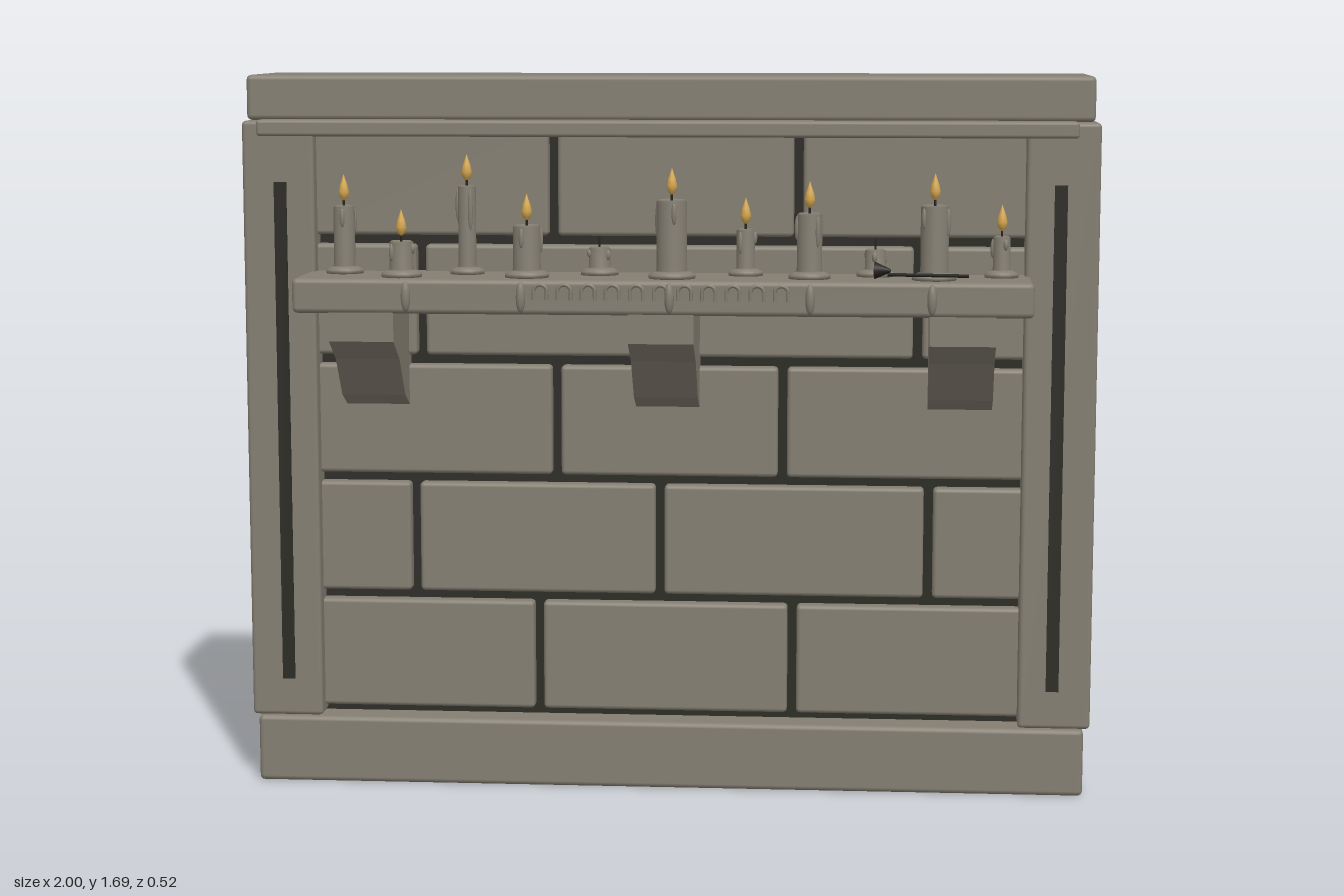
import * as THREE from 'three';
import { RoundedBoxGeometry } from 'three/addons/geometries/RoundedBoxGeometry.js';

const mat = (name, color) => {
  const m = new THREE.MeshStandardMaterial({ color });
  m.name = name;
  return m;
};

export function createModel() {
  const stone = mat('stone', 0x857f72);
  const mortar = mat('mortar', 0x2c2b25);
  const iron = mat('iron', 0x24211d);
  const flame = mat('flame', 0xd6a850);
  const model = new THREE.Group();
  model.name = 'candleShelfWall';

  const add = (name, geo, material, x = 0, y = 0, z = 0, parent = model) => {
    const m = new THREE.Mesh(geo, material);
    m.name = name;
    m.position.set(x, y, z);
    parent.add(m);
    return m;
  };
  // Box given by its limits; r rounds the edges
  const block = (name, material, x0, x1, y0, y1, z0, z1, r = 0) => {
    const s = [x1 - x0, y1 - y0, z1 - z0];
    const geo = r ? new RoundedBoxGeometry(...s, 2, r) : new THREE.BoxGeometry(...s);
    return add(name, geo, material, (x0 + x1) / 2, (y0 + y1) / 2, (z0 + z1) / 2);
  };

  // Frame: dark core, plinth, lintel, cornice and pillars
  block('mortarCore', mortar, -0.935, 0.935, 0.15, 1.6, -0.258, -0.005);
  block('plinth', stone, -0.985, 0.985, 0, 0.16, -0.25, 0.075, 0.012);
  block('lintel', stone, -0.985, 0.985, 1.585, 1.69, -0.25, 0.075, 0.012);
  block('cornice', stone, -0.95, 0.945, 1.55, 1.588, -0.01, 0.137, 0.008);
  for (const s of [-1, 1]) {
    const x = s * 0.915;
    block('pillar', stone, x - 0.085, x + 0.085, 0.16, 1.583, -0.25, 0.065, 0.01);
    block('pillarGroove', mortar, s * 0.91 - 0.015, s * 0.91 + 0.015, 0.25, 1.44, 0.06, 0.067);
  }

  // Brick courses with their vertical joints
  const courses = [
    [0.178, 0.44, [-0.31, 0.295]],
    [0.462, 0.725, [-0.605, -0.02, 0.615]],
    [0.747, 1.008, [-0.265, 0.27]],
    [1.031, 1.293, [-0.585, 0, 0.585]],
    [1.315, 1.58, [-0.27, 0.305]],
  ];
  for (const [y0, y1, joints] of courses) {
    const edges = [-0.85, ...joints, 0.85];
    for (let i = 0; i < edges.length - 1; i++) {
      block('brick', stone, edges[i] + 0.011, edges[i + 1] - 0.011, y0, y1, -0.04, 0.028, 0.01);
    }
  }

  // Shelf on three stepped brackets
  block('shelf', stone, -0.85, 0.845, 1.15, 1.23, -0.01, 0.247, 0.012);
  const profile = new THREE.Shape(
    [[0, 1.16], [0.242, 1.16], [0.242, 1.085], [0.163, 1.036], [0.09, 0.943], [0.0, 0.9]]
      .map(([z, y]) => new THREE.Vector2(z, y)));
  const bracketGeo = new THREE.ExtrudeGeometry(profile, { depth: 0.15, bevelEnabled: false });
  bracketGeo.rotateY(-Math.PI / 2).translate(0.075, 0, 0);
  for (const x of [-0.69, 0, 0.685]) add('bracket', bracketGeo, stone, x);

  // Wax runs and a row of small carved arches on the shelf edge
  const bead = new THREE.SphereGeometry(1, 12, 8);
  for (const x of [-0.585, -0.32, 0.02, 0.34, 0.615]) {
    add('shelfWaxRun', bead, stone, x, 1.19, 0.247).scale.set(0.011, 0.036, 0.012);
  }
  const arch = new THREE.TorusGeometry(0.015, 0.0045, 6, 10, Math.PI);
  const post = new THREE.CylinderGeometry(0.0045, 0.0045, 0.02, 6);
  for (let i = 0; i < 11; i++) {
    const x = -0.275 + i * 0.055;
    add('carvedArch', arch, stone, x, 1.205, 0.248);
    for (const s of [-1, 1]) add('carvedArchFoot', post, stone, x + s * 0.015, 1.195, 0.248);
  }

  // Candles: x, z, radius, top of wax, lit
  const candles = [
    [-0.755, 0.085, 0.025, 1.388, 1], [-0.605, 0.175, 0.028, 1.313, 1],
    [-0.465, 0.085, 0.021, 1.436, 1], [-0.315, 0.165, 0.032, 1.35, 1],
    [-0.155, 0.085, 0.025, 1.295, 0], [0.02, 0.165, 0.035, 1.41, 1],
    [0.185, 0.08, 0.021, 1.338, 1], [0.335, 0.15, 0.029, 1.38, 1],
    [0.485, 0.08, 0.024, 1.293, 0], [0.62, 0.165, 0.032, 1.4, 1],
    [0.775, 0.085, 0.02, 1.325, 1],
  ];
  const flameGeo = new THREE.LatheGeometry(
    [[0, 0], [0.009, 0.009], [0.0125, 0.022], [0.009, 0.038], [0.004, 0.052], [0, 0.064]]
      .map(([r, y]) => new THREE.Vector2(r, y)), 12);
  const wickGeo = new THREE.CylinderGeometry(0.003, 0.003, 0.03, 6);
  candles.forEach(([x, z, r, top, lit], i) => {
    const candle = new THREE.Group();
    candle.name = 'candle';
    candle.position.set(x, 1.23, z);
    model.add(candle);
    const h = top - 1.23;
    const wax = [[0, 0], [r + 0.019, 0], [r + 0.019, 0.009], [r + 0.007, 0.015], [r, 0.018],
      [r, h - 0.004], [r - 0.005, h], [r - 0.009, h - 0.005], [0, h - 0.006]]
      .map(([a, b]) => new THREE.Vector2(a, b));
    add('waxBody', new THREE.LatheGeometry(wax, 20), stone, 0, 0, 0, candle);
    add('wick', wickGeo, iron, 0, h + 0.008, 0, candle);
    if (lit) add('flame', flameGeo, flame, 0, h + 0.009, 0, candle);
    // Wax drips down the side
    for (let k = 0; k < 3; k++) {
      const a = i * 1.3 + k * 2.1;
      const len = h * (0.14 + 0.05 * k);
      add('waxDrip', bead, stone, Math.sin(a) * r, h - len - 0.006, Math.cos(a) * r, candle)
        .scale.set(0.006, len, 0.006);
    }
  });

  // Candle snuffer lying on the shelf
  const snuffer = new THREE.Group();
  snuffer.name = 'snuffer';
  snuffer.position.set(0.485, 1.253, 0.195);
  snuffer.rotation.y = -0.14;
  model.add(snuffer);
  const cup = add('snufferCup', new THREE.CylinderGeometry(0.004, 0.02, 0.036, 14), iron, 0.018, 0, 0, snuffer);
  cup.rotation.z = -Math.PI / 2;
  const handle = add('snufferHandle', new THREE.CylinderGeometry(0.004, 0.004, 0.185, 8), iron, 0.122, -0.009, 0, snuffer);
  handle.rotation.z = Math.PI / 2;

  return model;
}
